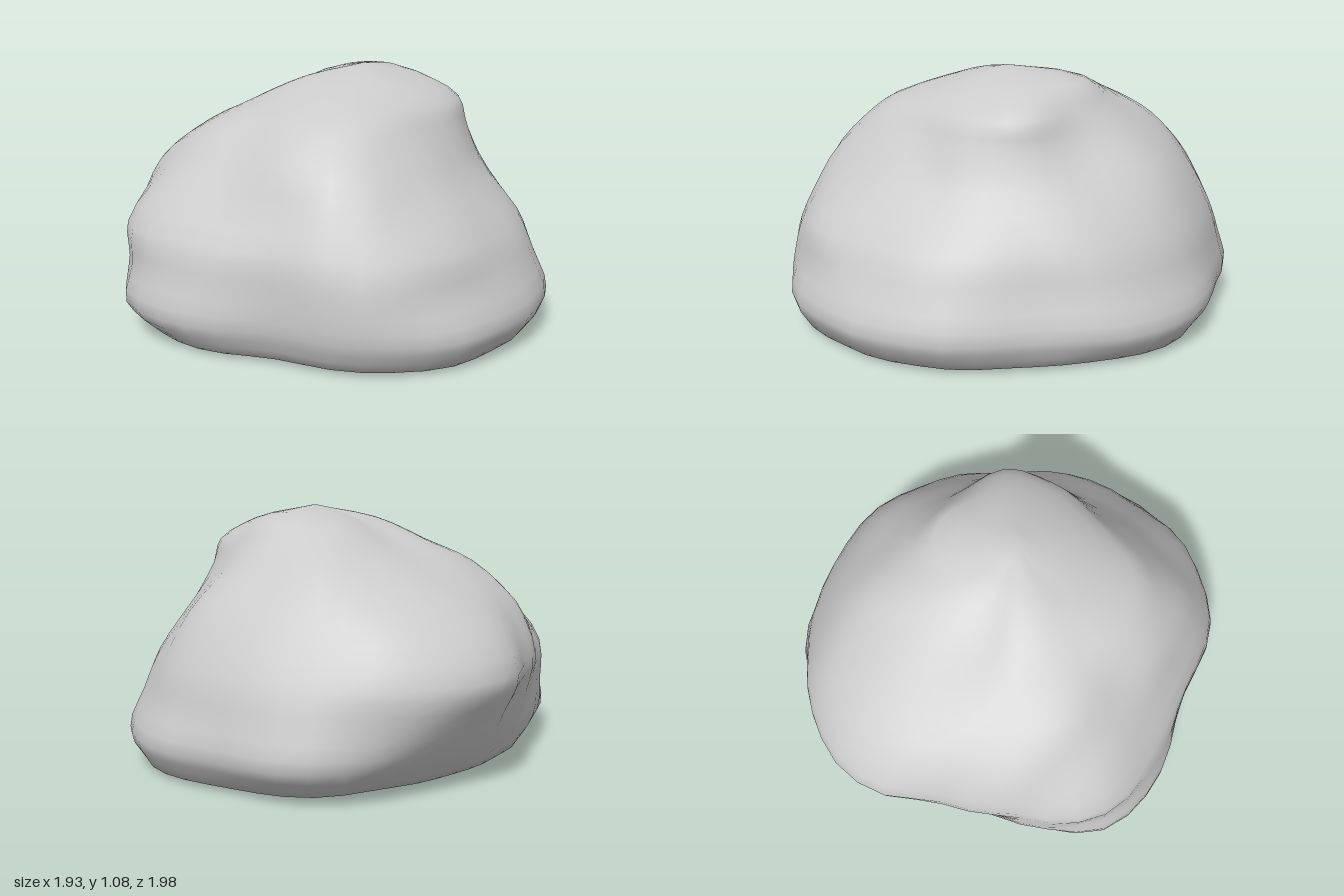
import * as THREE from 'three';

const SIDES = 48;   // columns around the boulder
const STEPS = 3;    // rows between two neighbouring outlines

// Outlines from the ground up: height and 16 radii, turning from +x towards +z
const OUTLINES = [
  [0.02, [.90, .86, .82, .87, .91, .94, .90, .81, .87, .87, .79, .74, .73, .76, .86, .86]],
  [0.14, [.97, .93, .87, .94, .98, 1.0, .96, .86, .94, .99, .86, .80, .84, .89, .99, .94]],
  [0.30, [.91, .87, .82, .88, .92, .94, .95, .85, .90, .96, .88, .84, .93, .96, .96, .91]],
  [0.45, [.86, .81, .77, .81, .84, .90, .90, .83, .86, .95, .88, .87, .99, .98, .91, .87]],
  [0.66, [.74, .67, .64, .63, .64, .71, .79, .73, .70, .77, .77, .77, .84, .85, .79, .75]],
  [0.82, [.57, .54, .57, .55, .53, .57, .64, .62, .57, .61, .58, .55, .56, .61, .65, .59]],
  [0.92, [.47, .48, .54, .50, .46, .48, .51, .48, .42, .40, .37, .31, .32, .39, .49, .48]],
  [1.02, [.38, .37, .36, .31, .28, .25, .22, .19, .18, .16, .13, .11, .11, .15, .23, .34]],
];
const APEX = new THREE.Vector3(0.06, 1.075, 0.1);

// Smooth closed interpolation of the radii of one outline
function radiusAt(radii, turn) {
  const n = radii.length, f = turn * n, i = Math.floor(f), t = f - i;
  const [a, b, c, d] = [-1, 0, 1, 2].map((k) => radii[(i + k + n) % n]);
  return b + 0.5 * t * (c - a + t * (2 * a - 5 * b + 4 * c - d + t * (3 * (b - c) + d - a)));
}

// Shallow lumps that break up the smooth surface
function lump(p) {
  return 0.006 * Math.sin(9 * p.x + 4 * p.y) * Math.sin(8 * p.z - 5 * p.y)
    + 0.004 * Math.sin(17 * p.x - 6 * p.z + 11 * p.y);
}

function boulderGeometry() {
  const rows = OUTLINES.length * STEPS + 1; // opening row + shell rows
  const positions = new Float32Array((rows * SIDES + 1) * 3);
  const put = (row, col, p) => p.toArray(positions, (row * SIDES + col) * 3);

  for (let i = 0; i < SIDES; i++) {
    const angle = (i / SIDES) * Math.PI * 2;
    const c = Math.cos(angle), s = Math.sin(angle);

    // Profile from the rim to the apex
    const points = OUTLINES.map(([y, radii]) => {
      const r = radiusAt(radii, i / SIDES);
      return new THREE.Vector3(c * r, y, s * r);
    });

    // Square opening in the underside, a little higher and deeper at the back
    const square = 0.56 / Math.max(Math.abs(c), Math.abs(s));
    const reach = square * (1 + 0.05 * Math.cos(angle + Math.PI / 4));
    const rim = Math.hypot(points[0].x, points[0].z);
    const open = Math.min(reach, rim - 0.01);
    put(0, i, new THREE.Vector3(c * open, 0.02 - 0.02 * s, s * open));

    const profile = new THREE.CatmullRomCurve3([...points, APEX]);
    for (let j = 1; j < rows; j++) {
      const p = profile.getPoint((j - 1) / (rows - 1));
      const bump = lump(p);
      p.x += c * bump;
      p.z += s * bump;
      put(j, i, p);
    }
  }
  const tip = rows * SIDES;
  APEX.toArray(positions, tip * 3);

  const index = [];
  for (let j = 0; j < rows; j++) {
    for (let i = 0; i < SIDES; i++) {
      const a = j * SIDES + i, b = j * SIDES + ((i + 1) % SIDES);
      if (j === rows - 1) index.push(a, tip, b);
      else index.push(a, a + SIDES, b, b, a + SIDES, b + SIDES);
    }
  }
  const geometry = new THREE.BufferGeometry();
  geometry.setAttribute('position', new THREE.BufferAttribute(positions, 3));
  geometry.setIndex(index);
  geometry.computeVertexNormals();
  return geometry;
}

export function createModel() {
  const group = new THREE.Group();
  group.name = 'rock';
  // Hollow shell, seen from inside through the opening
  const material = new THREE.MeshStandardMaterial({ color: 0xcccccc, side: THREE.DoubleSide });
  const boulder = new THREE.Mesh(boulderGeometry(), material);
  boulder.name = 'boulder';
  group.add(boulder);
  return group;
}
